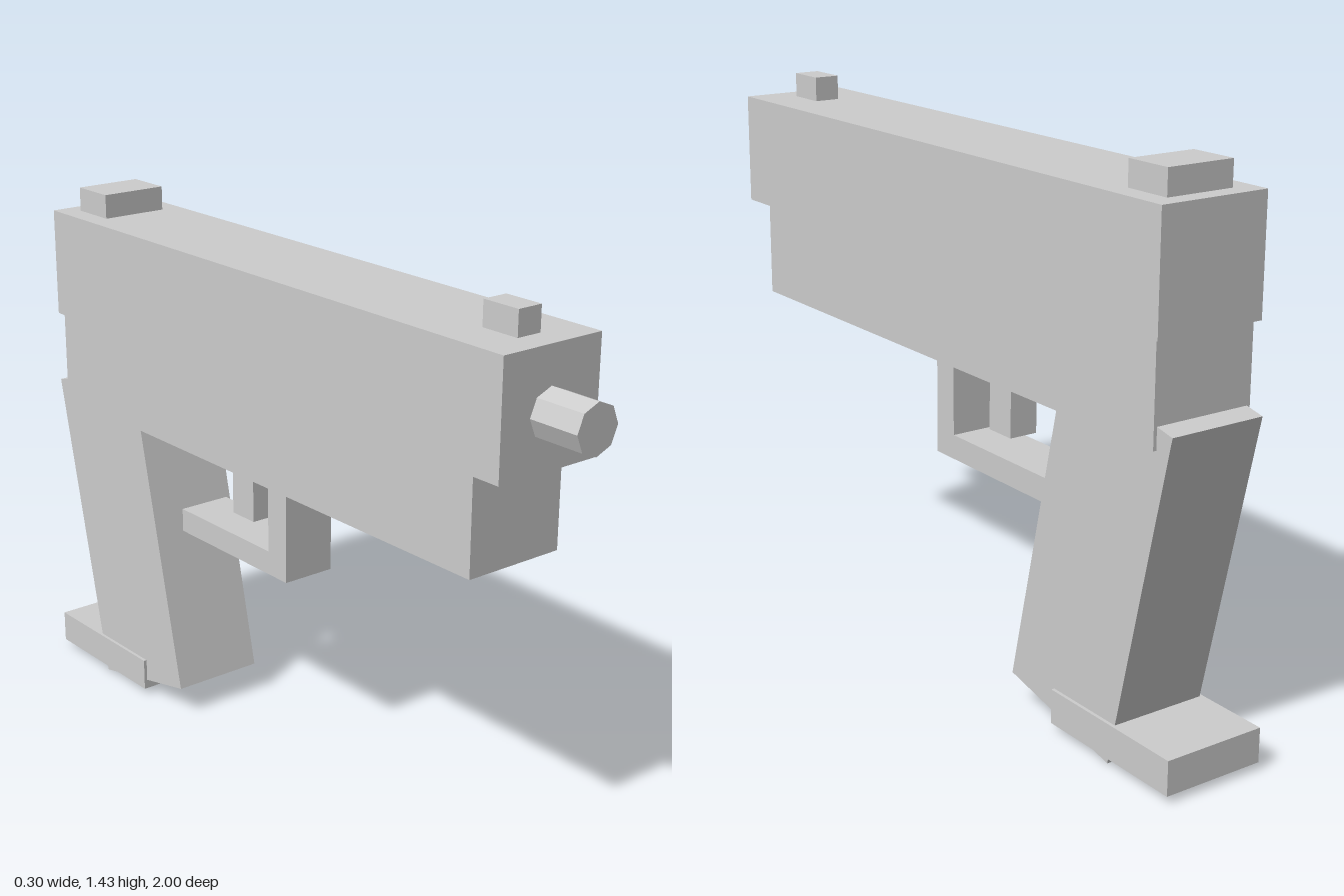
import * as THREE from 'three';

export function createModel() {
  const model = new THREE.Group();
  model.name = 'blockModel';
  const grey = new THREE.MeshStandardMaterial({ color: 0xcccccc });
  grey.name = 'lightGrey';
  grey.flatShading = true;

  const add = (name, geometry) => {
    const mesh = new THREE.Mesh(geometry, grey);
    mesh.name = name;
    model.add(mesh);
    return mesh;
  };

  // Box centred on x, given its full width and its y and z ranges
  const block = (name, width, y0, y1, z0, z1) => {
    const mesh = add(name, new THREE.BoxGeometry(width, y1 - y0, z1 - z0));
    mesh.position.set(0, (y0 + y1) / 2, (z0 + z1) / 2);
    return mesh;
  };

  // Upper body and the narrower frame below it
  block('slide', 0.3, 1.08, 1.375, -0.93, 0.86);
  block('frame', 0.28, 0.827, 1.08, -0.915, 0.77);

  // Sights
  block('frontSight', 0.07, 1.375, 1.44, 0.675, 0.785);
  block('rearSight', 0.186, 1.375, 1.44, -0.88, -0.75);

  // Eight-sided barrel with a corner at the top
  const barrel = add('barrel', new THREE.CylinderGeometry(0.063, 0.063, 0.2, 8));
  barrel.rotation.x = Math.PI / 2;
  barrel.position.set(0, 1.216, 0.9);

  // L-shaped guard, extruded across x from its side outline
  const outline = [[0.02, 0.545], [0.02, 0.84], [-0.055, 0.84], [-0.055, 0.61], [-0.445, 0.61], [-0.445, 0.545]];
  const guardShape = new THREE.Shape(outline.map(([z, y]) => new THREE.Vector2(-z, y)));
  const guardGeometry = new THREE.ExtrudeGeometry(guardShape, { depth: 0.15, bevelEnabled: false });
  guardGeometry.translate(0, 0, -0.075).rotateY(Math.PI / 2);
  add('triggerGuard', guardGeometry);

  block('trigger', 0.08, 0.65, 0.84, -0.255, -0.165);

  // Grip leaning back towards the top, with its base plate
  const grip = add('grip', new THREE.BoxGeometry(0.262, 0.886, 0.389));
  grip.position.set(0, 0.48, -0.681);
  grip.rotation.x = -0.2185;
  block('basePlate', 0.28, 0.025, 0.115, -1, -0.567);

  return model;
}
